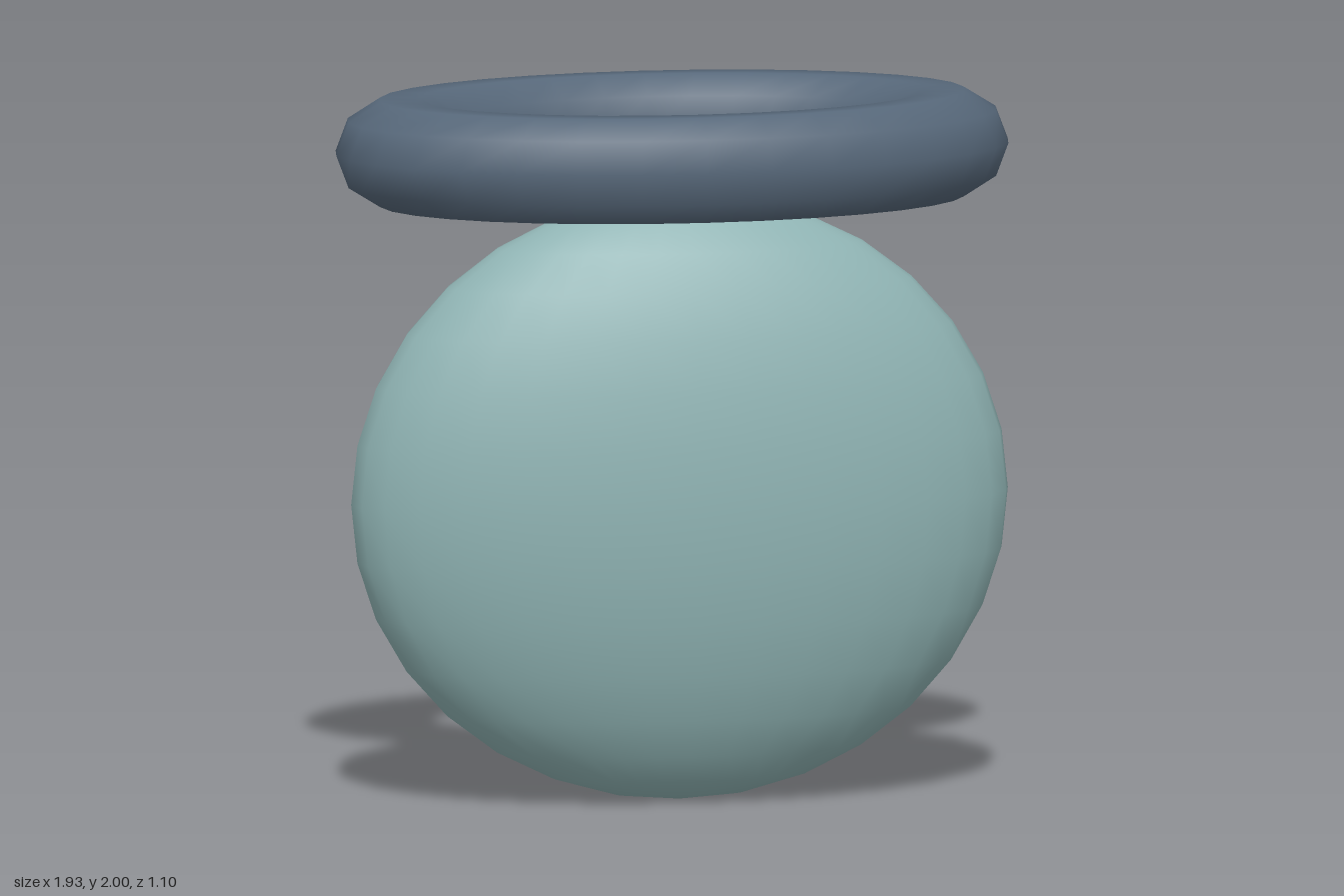
import * as THREE from 'three';

export function createModel() {
  const model = new THREE.Group();

  const paleTeal = new THREE.MeshStandardMaterial({ color: 0x8fb3b3 });
  paleTeal.name = 'paleTeal';
  const slateBlue = new THREE.MeshStandardMaterial({ color: 0x566779 });
  slateBlue.name = 'slateBlue';

  // Flattened oval body, set slightly forward of the ring
  const bodyGeometry = new THREE.SphereGeometry(1, 32, 16);
  bodyGeometry.scale(0.945, 0.864, 0.345);
  const body = new THREE.Mesh(bodyGeometry, paleTeal);
  body.name = 'body';
  body.position.set(0, 0.869, 0.112);
  model.add(body);

  // Oval ring lying flat on top, with a ten-sided tube
  const ringGeometry = new THREE.TorusGeometry(0.782, 0.184, 10, 32);
  ringGeometry.rotateX(Math.PI / 2);
  ringGeometry.scale(1, 0.15 / (0.184 * Math.sin(Math.PI * 0.4)), 0.57);
  const ring = new THREE.Mesh(ringGeometry, slateBlue);
  ring.name = 'ring';
  ring.position.y = 1.85;
  model.add(ring);

  return model;
}
